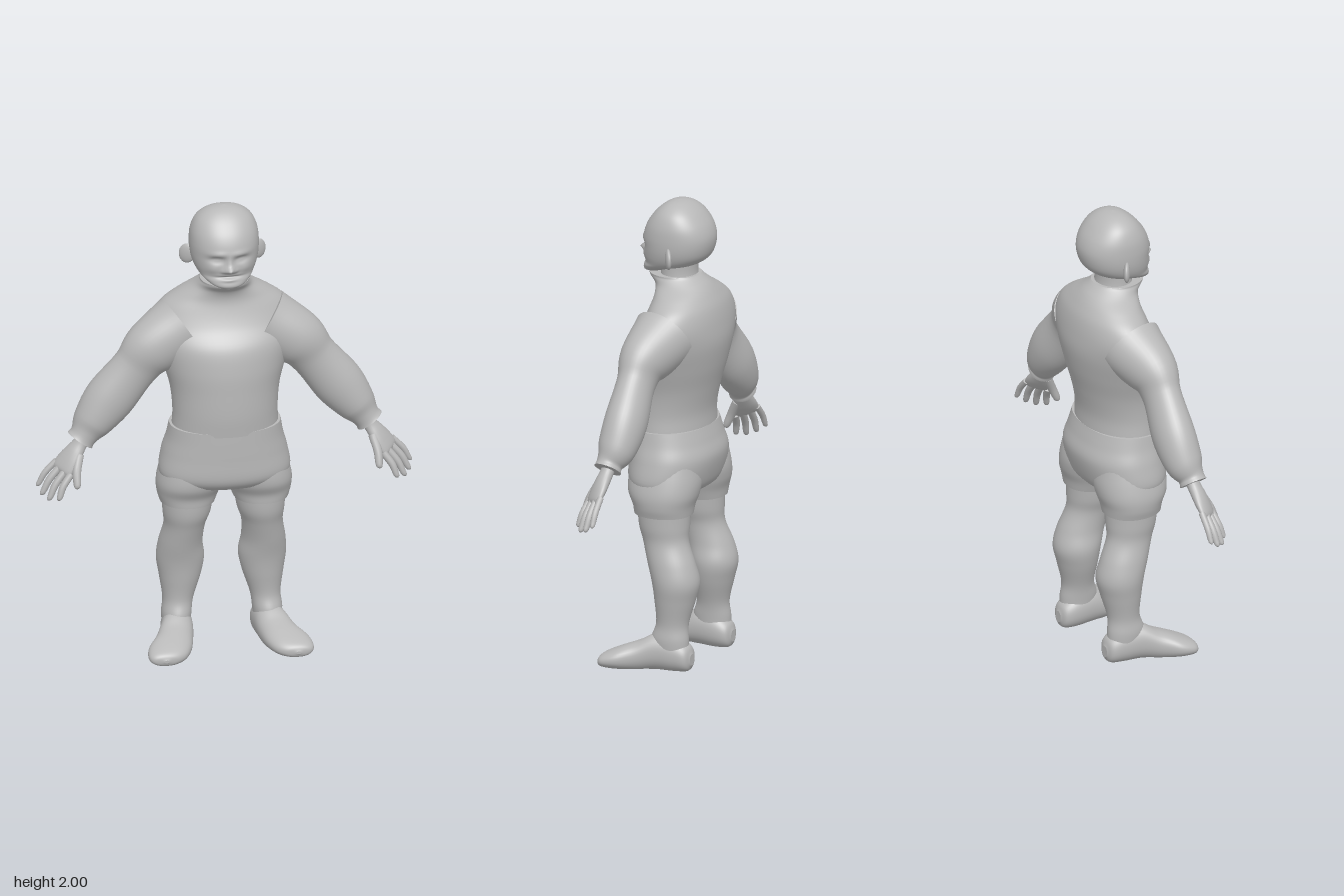
import * as THREE from 'three';

const clay = new THREE.MeshStandardMaterial({ color: 0xb8b8b8 });
clay.name = 'plain grey';

const V = (x, y, z) => new THREE.Vector3(x, y, z);

// Smooth skin through elliptical rings { c: centre, a, b: radii }.
// b runs along ref; a runs across it. An optional fixed axis keeps all rings parallel.
function loft(rings, { ref = V(0, 0, 1), axis = null, seg = 40, sub = 6, power = 2, shape = null } = {}) {
  const path = new THREE.CatmullRomCurve3(rings.map(r => r.c), false, 'catmullrom');
  const size = new THREE.CatmullRomCurve3(rings.map(r => V(r.a, r.b, 0)), false, 'catmullrom');
  const n = (rings.length - 1) * sub;
  const pos = [], idx = [];
  const round = v => Math.sign(v) * Math.abs(v) ** (2 / power);
  for (let i = 0; i <= n; i++) {
    const c = path.getPoint(i / n), s = size.getPoint(i / n);
    const t = axis ? axis.clone() : path.getTangent(i / n);
    const v = ref.clone().addScaledVector(t, -ref.dot(t)).normalize();
    const u = t.clone().cross(v);
    for (let j = 0; j < seg; j++) {
      const k = j / seg * Math.PI * 2;
      const p = c.clone()
        .addScaledVector(u, Math.max(s.x, 0.001) * round(Math.cos(k)))
        .addScaledVector(v, Math.max(s.y, 0.001) * round(Math.sin(k)));
      if (shape) shape(p);
      pos.push(p.x, p.y, p.z);
    }
  }
  for (let i = 0; i < n; i++) for (let j = 0; j < seg; j++) {
    const a = i * seg + j, b = i * seg + (j + 1) % seg;
    idx.push(a, a + seg, b, a + seg, b + seg, b);
  }
  // Flat end caps with their own corners
  for (const end of [0, n]) {
    const start = pos.length / 3, m = V(0, 0, 0);
    for (let j = 0; j < seg; j++) {
      const o = (end * seg + j) * 3;
      pos.push(pos[o], pos[o + 1], pos[o + 2]);
      m.add(V(pos[o], pos[o + 1], pos[o + 2]));
    }
    m.divideScalar(seg);
    pos.push(m.x, m.y, m.z);
    for (let j = 0; j < seg; j++) {
      const a = start + j, b = start + (j + 1) % seg;
      idx.push(start + seg, end ? b : a, end ? a : b);
    }
  }
  const g = new THREE.BufferGeometry();
  g.setAttribute('position', new THREE.Float32BufferAttribute(pos, 3));
  g.setIndex(idx);
  g.computeVertexNormals();
  return g;
}

// Upright skin from rows of [y, xMin, xMax, zBack, zFront], lowest first
const column = (rows, opts) => loft(rows.map(([y, x0, x1, z0, z1]) => ({
  c: V((x0 + x1) / 2, y, (z0 + z1) / 2), a: Math.abs(x1 - x0) / 2, b: (z1 - z0) / 2,
})), { axis: V(0, 1, 0), ...opts });

// Rows of [y, halfWidth, zBack, zFront] centred on x = 0
const centred = (rows, opts) => column(rows.map(([y, w, z0, z1]) => [y, -w, w, z0, z1]), opts);

// Rows of [x, y, z, a, b] following a limb
const limb = (rows, s, opts) => loft(rows.map(([x, y, z, a, b]) => ({ c: V(s * x, y, z), a, b })), opts);

// Nose, brows, eye sockets, mouth and chin pushed into the front of the head
function sculptFace(p) {
  if (p.z < 0.03) return;
  const { x, y } = p;
  const bump = (cx, cy, w, h) => Math.exp(-(((Math.abs(x) - cx) / w) ** 2) - ((y - cy) / h) ** 2);
  p.z += 0.03 * bump(0, 1.765, 0.02, 0.015) + 0.014 * bump(0, 1.79, 0.014, 0.03)
    + 0.008 * bump(0.024, 1.757, 0.012, 0.01)
    - 0.016 * bump(0.052, 1.805, 0.03, 0.014) + 0.007 * bump(0.052, 1.803, 0.018, 0.007)
    + 0.006 * bump(0.045, 1.832, 0.04, 0.012) + 0.005 * bump(0.07, 1.765, 0.025, 0.02)
    - 0.008 * bump(0, 1.728, 0.05, 0.005) + 0.005 * bump(0, 1.739, 0.035, 0.006)
    + 0.006 * bump(0, 1.717, 0.03, 0.007);
}

export function createModel() {
  const model = new THREE.Group();
  model.name = 'figure';
  const add = (name, geometry, parent = model) => {
    const m = new THREE.Mesh(geometry, clay);
    m.name = name;
    parent.add(m);
    return m;
  };

  // Head and neck
  add('head', centred([
    [1.676, 0.035, 0.09, 0.14], [1.69, 0.07, 0.045, 0.148], [1.71, 0.1, -0.02, 0.143],
    [1.73, 0.12, -0.095, 0.136], [1.76, 0.135, -0.137, 0.139], [1.8, 0.144, -0.157, 0.14],
    [1.85, 0.146, -0.163, 0.14], [1.9, 0.14, -0.148, 0.122], [1.945, 0.121, -0.116, 0.09],
    [1.975, 0.09, -0.082, 0.058], [1.993, 0.05, -0.047, 0.026], [2, 0.002, -0.012, -0.008],
  ], { seg: 96, sub: 8, power: 2.15, shape: sculptFace }));
  add('neck', centred([
    [1.6, 0.1, -0.11, 0.07], [1.68, 0.085, -0.085, 0.07], [1.78, 0.085, -0.09, 0.06],
  ]));

  // Sweater body, rising into a collar
  add('sweater', centred([
    [1.015, 0.225, -0.15, 0.182], [1.1, 0.222, -0.15, 0.189], [1.2, 0.232, -0.17, 0.189],
    [1.3, 0.26, -0.196, 0.185], [1.4, 0.29, -0.213, 0.165], [1.48, 0.3, -0.209, 0.115],
    [1.55, 0.265, -0.195, 0.086], [1.6, 0.2, -0.172, 0.076], [1.64, 0.135, -0.145, 0.088],
    [1.668, 0.108, -0.115, 0.118], [1.68, 0.104, -0.1, 0.122],
  ], { seg: 64 }));

  // Shorts: hips above two separate leg openings
  add('shorts', centred([
    [0.745, 0.15, -0.11, 0.1], [0.765, 0.24, -0.145, 0.145], [0.81, 0.277, -0.168, 0.174],
    [0.9, 0.265, -0.186, 0.178], [0.97, 0.246, -0.168, 0.179], [1.03, 0.235, -0.15, 0.179],
  ], { seg: 64, power: 2.2 }));

  for (const s of [1, -1]) {
    const side = new THREE.Group();
    side.name = s > 0 ? 'leftSide' : 'rightSide';
    model.add(side);
    const sideColumn = (rows, opts) =>
      column(rows.map(([y, x0, x1, z0, z1]) => [y, s * x0, s * x1, z0, z1]), opts);

    // Ear, flaring outward and back
    const ear = add('ear', new THREE.SphereGeometry(1, 24, 16), side);
    ear.scale.set(0.036, 0.044, 0.014);
    ear.position.set(s * 0.153, 1.778, -0.033);
    ear.rotation.set(0, s * 0.6, s * 0.25);

    // Sleeve from inside the shoulder to a flared cuff
    add('sleeve', limb([
      [0.18, 1.45, -0.03, 0.14, 0.14], [0.31, 1.37, 0, 0.122, 0.105], [0.378, 1.292, 0.003, 0.1, 0.078],
      [0.485, 1.155, -0.005, 0.107, 0.088], [0.56, 1.055, 0, 0.085, 0.08],
      [0.598, 1.003, 0.012, 0.06, 0.056], [0.615, 0.98, 0.014, 0.062, 0.058],
    ], s), side);

    // Hand: palm, four fingers and a thumb
    const across = V(-s * 0.05, -0.035, 0.08).normalize();
    add('palm', limb([
      [0.585, 1.01, 0.013, 0.03, 0.032], [0.615, 0.965, 0.018, 0.028, 0.033],
      [0.642, 0.93, 0.025, 0.028, 0.044], [0.667, 0.897, 0.031, 0.025, 0.053],
      [0.692, 0.865, 0.036, 0.018, 0.054], [0.702, 0.851, 0.038, 0.008, 0.045],
    ], s, { ref: across, seg: 24 }), side);
    const finger = (name, from, to, r) => {
      const row = (k, w) => [...from.clone().lerp(to, k).toArray(), r * w, r * w];
      const bend = row(0.5, 0.98);
      bend[0] += 0.006;
      bend[1] += 0.004;
      add(name, limb([row(0, 1), bend, row(0.85, 0.82), row(0.96, 0.55), row(1, 0.05)], s,
        { ref: across, seg: 14, sub: 4 }), side);
    };
    const tips = [V(0.796, 0.775, -0.004), V(0.785, 0.749, 0.034), V(0.76, 0.737, 0.07), V(0.722, 0.746, 0.1)];
    tips.forEach((tip, i) =>
      finger('finger', V(0.712, 0.885, -0.003).lerp(V(0.662, 0.852, 0.073), i / 3), tip, i ? 0.0155 : 0.0135));
    finger('thumb', V(0.622, 0.925, 0.045), V(0.644, 0.796, 0.11), 0.019);

    // Leg opening of the shorts
    add('shortsLeg', sideColumn([
      [0.67, 0.04, 0.272, -0.138, 0.11], [0.71, 0.024, 0.283, -0.145, 0.116],
      [0.76, 0.004, 0.286, -0.16, 0.14], [0.82, -0.01, 0.274, -0.164, 0.145],
      [0.9, 0.02, 0.25, -0.15, 0.13],
    ], { power: 2.15 }), side);

    // Bare leg with knee and calf
    add('leg', sideColumn([
      [0.06, 0.135, 0.25, -0.145, 0.01], [0.13, 0.13, 0.256, -0.145, 0.02],
      [0.2, 0.12, 0.25, -0.14, 0], [0.3, 0.088, 0.264, -0.165, 0.01],
      [0.38, 0.073, 0.275, -0.182, 0.022], [0.46, 0.083, 0.268, -0.163, 0.043],
      [0.55, 0.078, 0.252, -0.128, 0.07], [0.62, 0.056, 0.258, -0.127, 0.092],
      [0.72, 0.04, 0.262, -0.13, 0.1],
    ]), side);

    // Foot, heel to toe, turned outward with a flat sole
    const foot = [
      [0.188, 0.05, -0.163, 0.02, 0.025], [0.188, 0.055, -0.145, 0.05, 0.055],
      [0.19, 0.068, -0.09, 0.064, 0.075], [0.2, 0.073, -0.01, 0.07, 0.08],
      [0.222, 0.053, 0.06, 0.08, 0.065], [0.25, 0.043, 0.125, 0.092, 0.05],
      [0.268, 0.034, 0.18, 0.082, 0.036], [0.278, 0.029, 0.208, 0.055, 0.024],
      [0.28, 0.027, 0.218, 0.01, 0.006],
    ];
    add('foot', limb(foot, s, {
      ref: V(0, 1, 0), axis: V(0, 0, 1), power: 2.2,
      shape: p => { p.y = Math.max(p.y, 0); },
    }), side);
  }
  return model;
}
